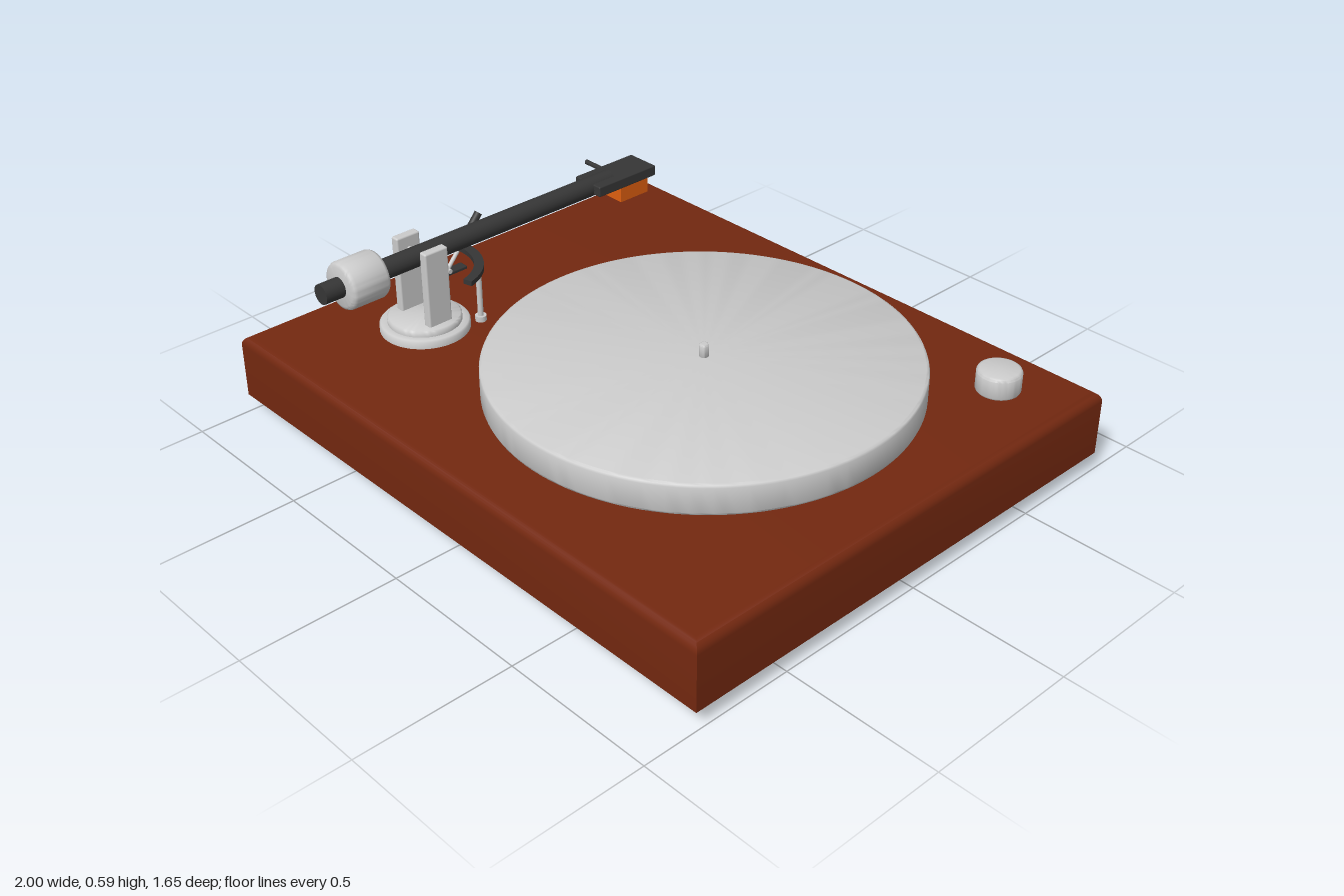
import * as THREE from 'three';
import { toCreasedNormals } from 'three/addons/utils/BufferGeometryUtils.js';
import { RoundedBoxGeometry } from 'three/addons/geometries/RoundedBoxGeometry.js';

const mat = (color) => new THREE.MeshStandardMaterial({ color });
const WOOD = mat(0x732810), GREY = mat(0xcccccc), DARK = mat(0x363636), ORANGE = mat(0xe06010);

export function createModel() {
  const model = new THREE.Group();

  const add = (name, geometry, material, x = 0, y = 0, z = 0) => {
    const mesh = new THREE.Mesh(geometry, material);
    mesh.name = name;
    mesh.position.set(x, y, z);
    model.add(mesh);
    return mesh;
  };
  // Turned solid from [radius, height] pairs, listed bottom to top
  const turned = (points, segments = 64) => toCreasedNormals(
    new THREE.LatheGeometry(points.map(([r, y]) => new THREE.Vector2(r, y)), segments), 0.9);
  // Disc from y0 to y1 with softened rims
  const disc = (r, y0, y1, b, segments) => turned([
    [0, y0], [r - b, y0], [r - 0.3 * b, y0 + 0.3 * b], [r, y0 + b],
    [r, y1 - b], [r - 0.3 * b, y1 - 0.3 * b], [r - b, y1], [0, y1]], segments);
  // Round bar between two points
  const rod = (name, a, b, r, material) => {
    const from = new THREE.Vector3(...a), to = new THREE.Vector3(...b);
    const dir = to.clone().sub(from);
    const mesh = add(name, new THREE.CylinderGeometry(r, r, dir.length(), 24), material);
    mesh.position.copy(from).add(to).multiplyScalar(0.5);
    mesh.quaternion.setFromUnitVectors(new THREE.Vector3(0, 1, 0), dir.normalize());
    return mesh;
  };

  // Plinth: four-sided, sharp corners in plan, rounded top edge
  const profile = [[0, 0.06], [1, 0.06], [1, 0.24]];
  for (let i = 1; i <= 6; i++) {
    const t = (i / 6) * Math.PI / 2;
    profile.push([0.97 + 0.03 * Math.cos(t), 0.24 + 0.03 * Math.sin(t)]);
  }
  profile.push([0, 0.27]);
  const plinth = new THREE.LatheGeometry(
    profile.map(([r, y]) => new THREE.Vector2(r * Math.SQRT2, y)), 4, Math.PI / 4);
  plinth.scale(1, 1, 0.825);
  add('plinth', toCreasedNormals(plinth, 0.6), WOOD);

  // Feet
  for (const x of [-0.815, 0.815]) for (const z of [-0.655, 0.655])
    add('foot', disc(0.115, 0, 0.07, 0.008, 48), DARK, x, 0, z);

  // Platter, spindle and speed knob
  add('subPlatter', new THREE.CylinderGeometry(0.63, 0.63, 0.03, 96), DARK, 0.18, 0.275, 0);
  add('platter', disc(0.65, 0.278, 0.378, 0.01, 128), GREY, 0.18, 0, 0);
  add('spindle', disc(0.014, 0.37, 0.42, 0.006, 24), GREY, 0.18, 0, 0);
  add('speedKnob', disc(0.068, 0.265, 0.34, 0.01, 48), GREY, 0.775, 0, -0.62);

  // Tonearm base: two tiers, a pair of posts and the pivot axle
  const ax = -0.662, az = 0.376, ay = 0.519;
  add('armBase', turned([[0, 0.265], [0.14, 0.265], [0.14, 0.29], [0.135, 0.296],
    [0.115, 0.296], [0.115, 0.312], [0.11, 0.316], [0, 0.316]]), GREY, ax, 0, az);
  for (const side of [-1, 1])
    add('armPost', new RoundedBoxGeometry(0.03, 0.255, 0.085, 3, 0.006), GREY, ax + side * 0.07, 0.437, az);
  rod('pivotAxle', [ax - 0.075, ay, az], [ax + 0.075, ay, az], 0.008, GREY);

  // Tonearm tube and counterweight
  rod('armTube', [ax, ay, 0.735], [ax, ay, -0.388], 0.032, DARK);
  const weight = add('counterweight', disc(0.076, -0.067, 0.067, 0.014), GREY, ax, ay, 0.602);
  weight.rotation.x = Math.PI / 2;

  // Headshell, finger lift, cartridge and stylus
  add('headshell', new RoundedBoxGeometry(0.118, 0.035, 0.245, 2, 0.004), DARK, ax, 0.52, -0.42);
  rod('fingerLift', [ax - 0.05, 0.52, -0.42], [ax - 0.145, 0.52, -0.42], 0.008, DARK);
  add('cartridge', new THREE.BoxGeometry(0.08, 0.065, 0.118), ORANGE, ax, 0.475, -0.465);
  rod('stylusArm', [ax, 0.448, -0.44], [ax, 0.431, -0.518], 0.004, DARK);
  rod('stylusTip', [ax, 0.435, -0.515], [ax, 0.422, -0.515], 0.003, DARK);

  // Curved arm lift on its pillar
  const arc = new THREE.Shape();
  const a0 = -2.04, a1 = -0.26;
  arc.absarc(0, 0, 0.19, a0, a1, false);
  arc.absarc(0, 0, 0.16, a1, a0, true);
  arc.closePath();
  const lift = new THREE.ExtrudeGeometry(arc, { depth: 0.016, bevelEnabled: false, curveSegments: 32 });
  lift.rotateX(Math.PI / 2);
  add('armLift', toCreasedNormals(lift, 0.6), DARK, ax, 0.482, az);
  rod('liftPillar', [-0.575, 0.26, 0.227], [-0.575, 0.47, 0.227], 0.009, GREY);
  rod('liftCollar', [-0.575, 0.26, 0.227], [-0.575, 0.288, 0.227], 0.018, GREY);

  // Cueing lever: short base, slanted stem and dark grip
  const lx = -0.885;
  add('leverBase', new RoundedBoxGeometry(0.036, 0.014, 0.11, 2, 0.004), DARK, lx, 0.273, 0.105);
  rod('leverPin', [lx - 0.02, 0.284, 0.12], [lx + 0.02, 0.284, 0.12], 0.008, GREY);
  rod('leverStem', [lx, 0.28, 0.12], [lx, 0.385, 0.03], 0.007, GREY);
  rod('leverGrip', [lx, 0.375, 0.038], [lx, 0.442, -0.02], 0.013, DARK);

  return model;
}
